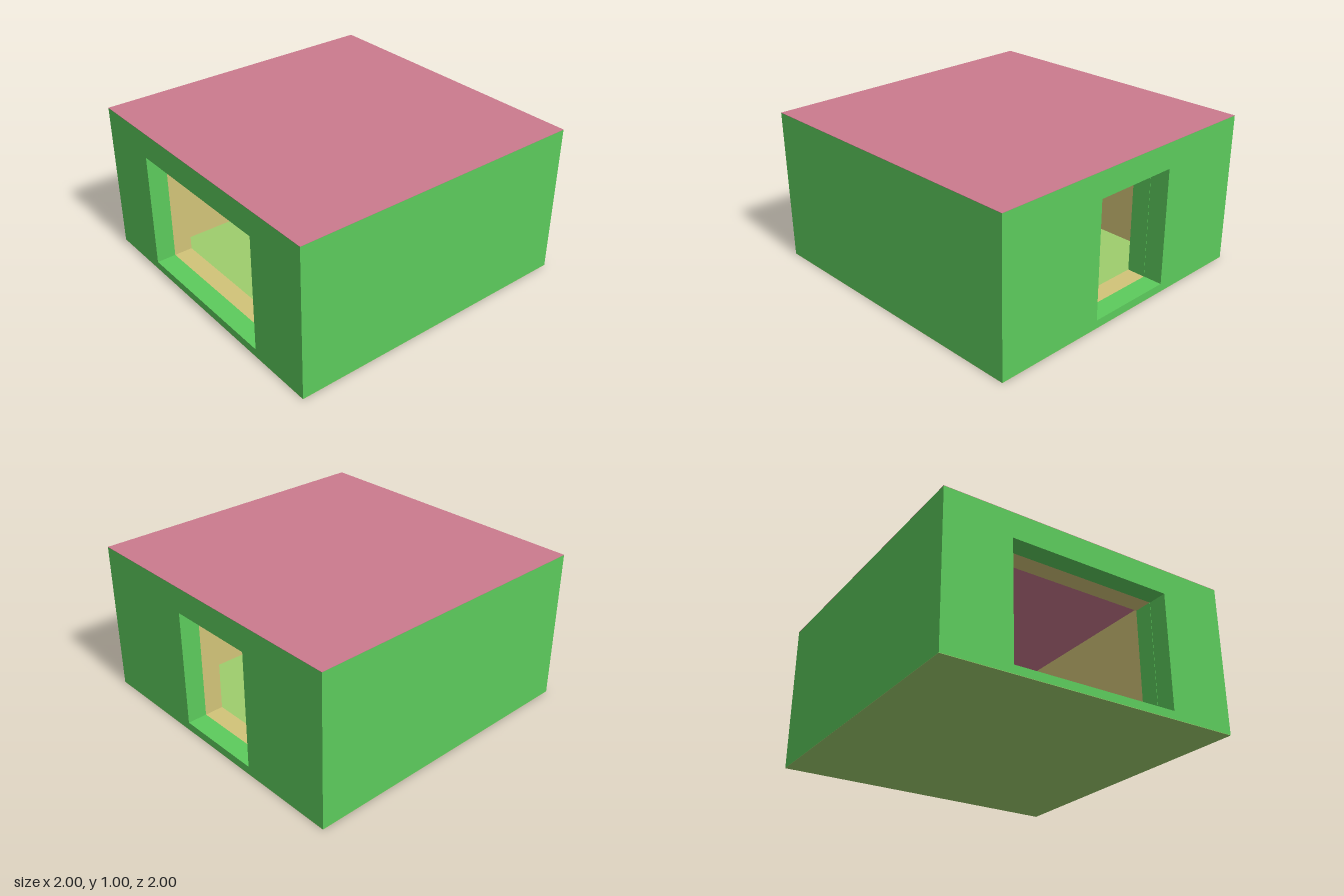
import * as THREE from 'three';

const GREEN = 0x5ccb5c, TAN = 0xd2c478, PINK = 0xcb7a8e, FLOOR = 0x9ecd6d;
const SKIN = 0.002;                    // thickness of floor and roof sheets
const OUT = 1, MID = 0.87, IN = 0.745; // outer face, layer joint, room face
const SILL = 0.055, HEAD = 0.83;       // bottom and top of the openings

export function createModel() {
  const group = new THREE.Group();
  const materials = {};
  const add = (name, geometry, color) => {
    materials[color] ??= new THREE.MeshStandardMaterial({ color });
    const mesh = new THREE.Mesh(geometry, materials[color]);
    mesh.name = name;
    group.add(mesh);
  };
  // Box given by its lower and upper corners
  const box = (name, x0, y0, z0, x1, y1, z1, color) =>
    add(name, new THREE.BoxGeometry(x1 - x0, y1 - y0, z1 - z0)
      .translate((x0 + x1) / 2, (y0 + y1) / 2, (z0 + z1) / 2), color);

  // Side wall layer with a rectangular opening, between x0 and x1
  const sideWall = (name, x0, x1, halfLength, z0, z1, color) => {
    const rect = (target, a, b, c, d) =>
      target.moveTo(a, b).lineTo(c, b).lineTo(c, d).lineTo(a, d).closePath();
    const shape = rect(new THREE.Shape(), -halfLength, SKIN, halfLength, 1 - SKIN);
    shape.holes.push(rect(new THREE.Path(), z0, SILL, z1, HEAD));
    add(name, new THREE.ExtrudeGeometry(shape, { depth: x1 - x0, bevelEnabled: false })
      .rotateY(-Math.PI / 2).translate(x1, 0, 0), color);
  };

  // Floor and roof sheets
  box('floor', -OUT, 0, -OUT, OUT, SKIN, OUT, FLOOR);
  box('roof', -OUT, 1 - SKIN, -OUT, OUT, 1, OUT, PINK);

  // Each wall is an outer layer and an inner lining
  const layers = [['Wall', MID, OUT, GREEN], ['Lining', IN, MID, TAN]];
  for (const [kind, a, b, color] of layers) {
    box('front' + kind, -a, SKIN, a, a, 1 - SKIN, b, color);
    box('back' + kind, -a, SKIN, -b, a, 1 - SKIN, -a, color);
    sideWall('left' + kind, a, b, b, -0.355, 0.245, color);
    sideWall('right' + kind, -b, -a, b, -0.555, 0.555, color);
  }

  // Green jamb facings inside the two openings
  box('leftJamb', IN, SILL, -0.355, MID, HEAD, -0.353, GREEN);
  box('rightJamb', -MID, SILL, 0.553, -IN, HEAD, 0.555, GREEN);
  return group;
}
